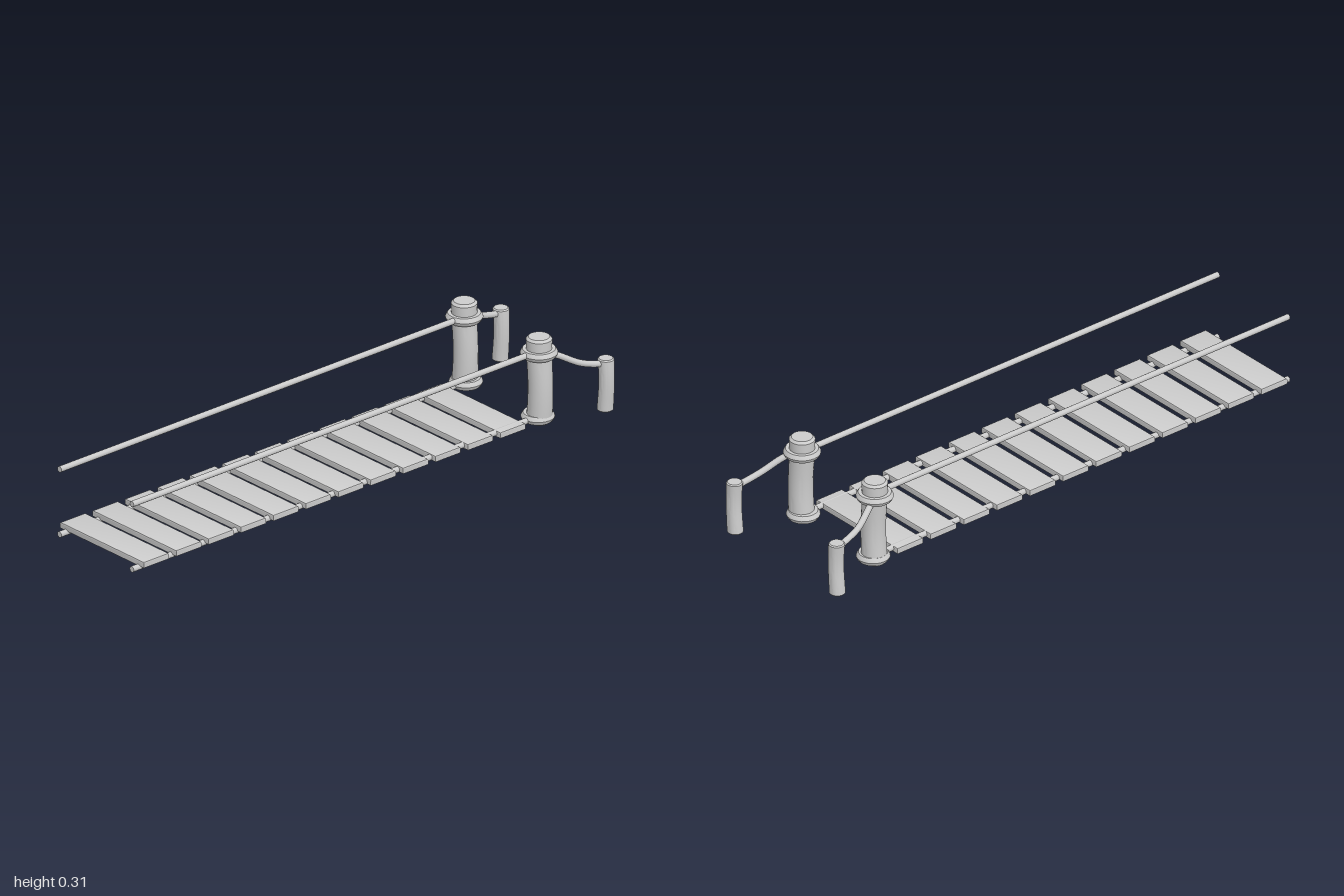
import * as THREE from 'three';
import { toCreasedNormals } from 'three/addons/utils/BufferGeometryUtils.js';

const material = new THREE.MeshStandardMaterial({ color: 0xcccccc });

function addMesh(parent, name, geometry, x = 0, y = 0, z = 0) {
  const mesh = new THREE.Mesh(geometry, material);
  mesh.name = name;
  mesh.position.set(x, y, z);
  parent.add(mesh);
  return mesh;
}

// Turned solid from [radius, height] pairs, bowed sideways along z
function turned(points, bow = () => 0) {
  const geometry = new THREE.LatheGeometry(points.map(([r, y]) => new THREE.Vector2(r, y)), 24);
  const p = geometry.attributes.position;
  for (let i = 0; i < p.count; i++) p.setZ(i, p.getZ(i) + bow(p.getY(i)));
  return toCreasedNormals(geometry, 0.5);
}

// Log with chamfered ends and a slightly uneven shaft
function log(radius, bottom, top, chamfer, bow, waist) {
  const points = [[0, bottom], [radius - chamfer, bottom]];
  const steps = 10;
  const y0 = bottom + chamfer, y1 = top - chamfer;
  for (let i = 0; i <= steps; i++) {
    const t = i / steps;
    points.push([radius - waist * Math.sin(Math.PI * t), y0 + (y1 - y0) * t]);
  }
  points.push([radius - chamfer, top], [0, top]);
  return turned(points, bow);
}

// Rope binding with a faceted, rounded rim
function binding(radius) {
  return turned([
    [0.03, -0.014], [radius - 0.008, -0.014], [radius - 0.002, -0.006], [radius, 0],
    [radius - 0.002, 0.005], [radius - 0.008, 0.014], [0.03, 0.014],
  ]);
}

function rope(points, radius) {
  const curve = new THREE.CatmullRomCurve3(points.map((p) => new THREE.Vector3(...p)));
  return new THREE.TubeGeometry(curve, points.length > 2 ? 20 : 1, radius, 10);
}

// Board with chamfered edges, lying flat and long in z
function plankGeometry(width, thickness, length) {
  const b = 0.005;
  const w = width / 2 - b, l = length / 2 - b;
  const shape = new THREE.Shape();
  shape.moveTo(-w, -l);
  shape.lineTo(w, -l);
  shape.lineTo(w, l);
  shape.lineTo(-w, l);
  const geometry = new THREE.ExtrudeGeometry(shape, {
    depth: thickness - 2 * b, bevelThickness: b, bevelSize: b, bevelSegments: 2,
  });
  geometry.translate(0, 0, b - thickness / 2);
  geometry.rotateX(-Math.PI / 2);
  return toCreasedNormals(geometry, 0.6);
}

export function createModel() {
  const bridge = new THREE.Group();
  bridge.name = 'ropeBridge';

  // Walkway, dropping gently towards the posts
  const deck = new THREE.Group();
  deck.name = 'deck';
  bridge.add(deck);
  const board = plankGeometry(0.108, 0.023, 0.408);
  const count = 12;
  for (let i = 0; i < count; i++) {
    addMesh(deck, 'plank', board, -0.918 + i * 0.1395, 0.034 - 0.016 * (i / (count - 1)), -0.001);
  }

  const postLog = log(0.043, 0.004, 0.307, 0.008,
    (y) => 0.007 * Math.sin(Math.PI * Math.min(1, y / 0.24)), 0.002);
  const stakeLog = log(0.027, 0.002, 0.188, 0.004,
    (y) => 0.004 * Math.sin(Math.PI * (1 - y / 0.188) * 1.3), 0.001);
  const collar = binding(0.062);
  const baseRing = binding(0.056);

  for (const s of [1, -1]) {
    const side = new THREE.Group();
    side.name = s > 0 ? 'frontSide' : 'backSide';
    bridge.add(side);
    const postZ = s > 0 ? 0.179 : -0.185;
    const stakeZ = s > 0 ? 0.254 : -0.257;

    // Main post with its bindings
    addMesh(side, 'post', postLog, 0.75, 0, postZ);
    addMesh(side, 'collar', collar, 0.75, 0.251, postZ);
    addMesh(side, 'baseRing', baseRing, 0.75, 0.023, s > 0 ? 0.173 : -0.177);

    // Anchor stake
    addMesh(side, 'stake', stakeLog, 0.971, 0, stakeZ);

    // Hand rope, deck rope and sagging anchor rope; end discs close the cut ends
    for (const [name, y] of [['handRope', 0.252], ['deckRope', 0.02]]) {
      const z = s * 0.176;
      addMesh(side, name, rope([[-1, y, z], [0.75, y, z]], 0.0105));
      addMesh(side, name + 'End', new THREE.CircleGeometry(0.0105, 10), -1, y, z).rotation.y = -Math.PI / 2;
    }
    addMesh(side, 'anchorRope', rope([
      [0.77, 0.25, postZ + s * 0.015], [0.81, 0.23, postZ + s * 0.035],
      [0.87, 0.196, postZ + s * 0.057], [0.92, 0.179, stakeZ - s * 0.007], [0.971, 0.168, stakeZ],
    ], 0.011));
  }
  return bridge;
}
